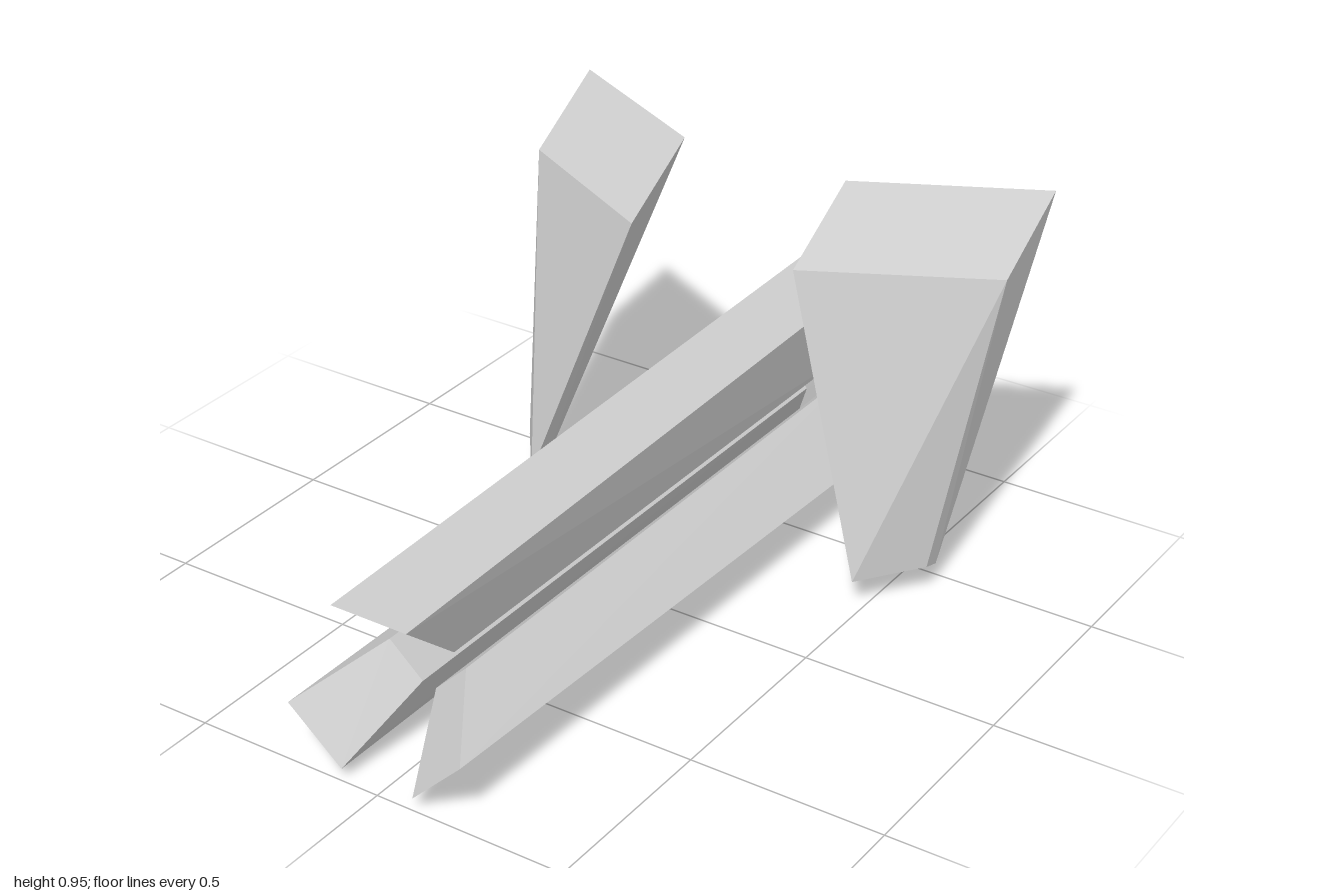
import * as THREE from 'three';
import { ConvexGeometry } from 'three/addons/geometries/ConvexGeometry.js';

const material = new THREE.MeshStandardMaterial({ color: 0xcccccc, flatShading: true });

// Flat-faced solid spanned by its eight corners
function solid(name, corners) {
  const points = corners.map((c) => new THREE.Vector3(...c));
  const mesh = new THREE.Mesh(new ConvexGeometry(points), material);
  mesh.name = name;
  return mesh;
}

// Long beam: wide outer face from z = 1 to z = -1, narrow inner face with slanted ends.
// Each argument is a pair of [x, y] edge positions.
function beam(name, outerFront, outerBack, inner) {
  return solid(name, [
    ...outerFront.map(([x, y]) => [x, y, 1]),
    ...outerBack.map(([x, y]) => [x, y, -1]),
    ...inner.map(([x, y]) => [x, y, 0.79]),
    ...inner.map(([x, y]) => [x, y, -0.87]),
  ]);
}

// Tapered upright fin: slanted parallelogram top, small twisted foot
function fin(name, side) {
  const corners = [
    [0.23, 0.81, -0.345], [0.675, 0.81, -0.58],
    [0.675, 0.953, -0.81], [0.23, 0.953, -0.58],
    [0.477, 0.077, -0.25], [0.595, 0.08, -0.407],
    [0.593, 0.064, -0.458], [0.477, 0.064, -0.303],
  ];
  return solid(name, corners.map(([x, y, z]) => [side * x, y, z]));
}

export function createModel() {
  const model = new THREE.Group();
  model.name = 'model';

  // Three beams around the central axis
  model.add(beam('upperBeam',
    [[-0.104, 0.464], [0.101, 0.464]],
    [[-0.104, 0.513], [0.101, 0.513]],
    [[-0.067, 0.29], [0.064, 0.29]]));
  model.add(beam('lowerLeftBeam',
    [[0.233, 0.168], [0.099, 0.036]],
    [[0.265, 0.137], [0.132, 0.004]],
    [[0.096, 0.26], [0.01, 0.175]]));
  model.add(beam('lowerRightBeam',
    [[-0.244, 0.159], [-0.099, 0.036]],
    [[-0.276, 0.125], [-0.132, 0.004]],
    [[-0.117, 0.26], [-0.027, 0.18]]));

  // Mirrored side fins
  model.add(fin('leftFin', 1), fin('rightFin', -1));
  return model;
}
